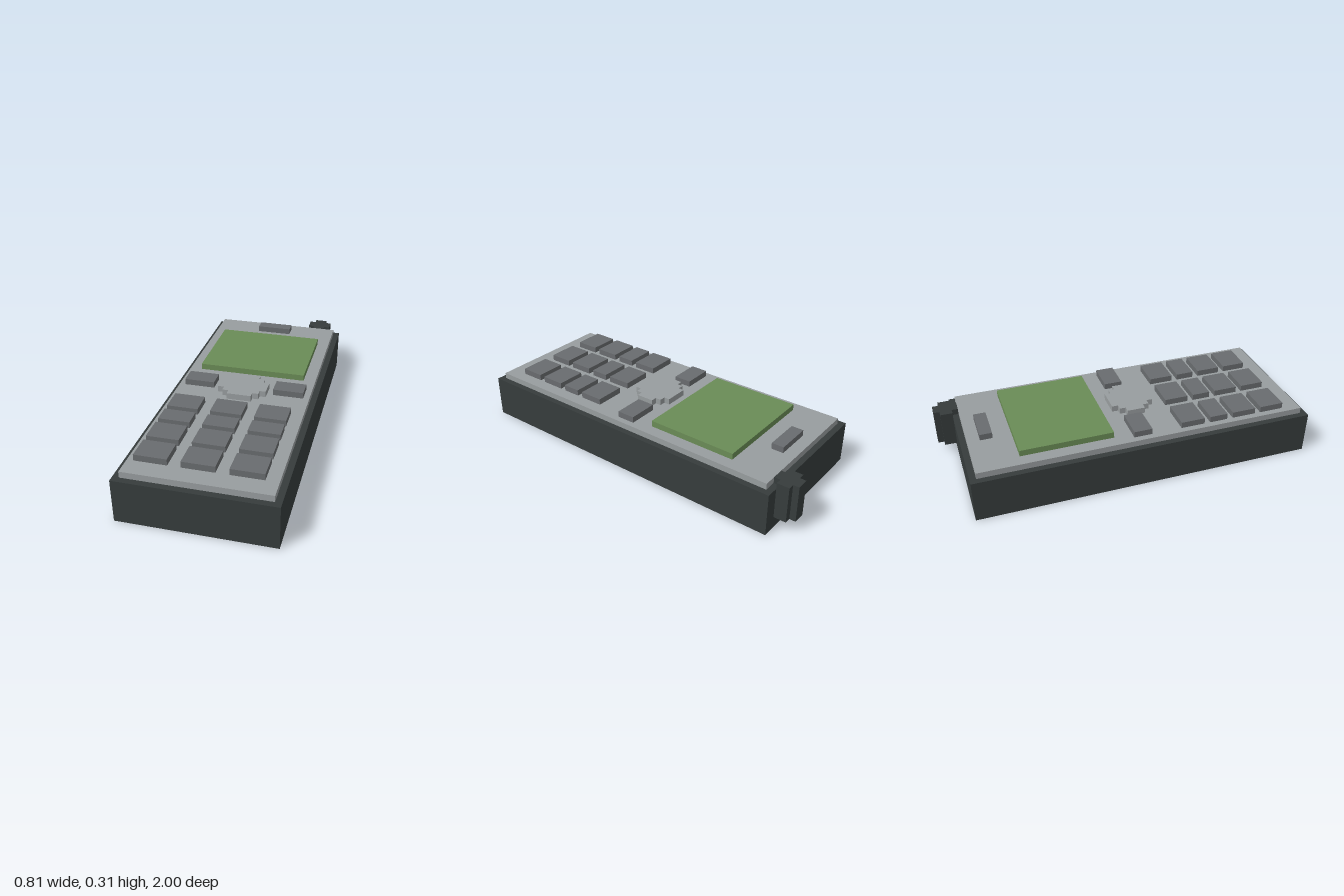
import * as THREE from 'three';

// Everything sits on a square grid: x from the middle, y from the ground, z from the back end
const U = 2 / 59;

const material = (name, color) => {
  const m = new THREE.MeshStandardMaterial({ color });
  m.name = name;
  return m;
};

export function createModel() {
  const dark = material('darkCasing', 0x363c3c);
  const light = material('lightPanel', 0x989d9f);
  const grey = material('greyKeys', 0x696c6f);
  const green = material('greenScreen', 0x6a8c56);

  const model = new THREE.Group();
  model.name = 'mobilePhone';

  const add = (name, geometry, mat, parent = model) => {
    const mesh = new THREE.Mesh(geometry, mat);
    mesh.name = name;
    parent.add(mesh);
    return mesh;
  };

  // Box given by its limits in grid units
  const block = (name, mat, [x0, x1], [y0, y1], [z0, z1], parent) => {
    const mesh = add(name, new THREE.BoxGeometry((x1 - x0) * U, (y1 - y0) * U, (z1 - z0) * U), mat, parent);
    mesh.position.set((x0 + x1) / 2 * U, (y0 + y1) / 2 * U, (z0 + z1) / 2 * U - 1);
  };

  // Upright stepped prism, mirrored in x and z; steps are [halfWidth, halfDepth] of one quarter
  const steppedPrism = (name, mat, steps, cx, cz, y0, y1) => {
    const quarter = [];
    steps.forEach(([x, z], i) => {
      if (i) quarter.push([x, steps[i - 1][1]]);
      quarter.push([x, z]);
    });
    const back = [...quarter].reverse();
    const flip = (sx, sz, list) => list.map(([x, z]) => [sx * x, sz * z]);
    const outline = [...quarter, ...flip(-1, 1, back), ...flip(-1, -1, quarter), ...flip(1, -1, back)];
    const shape = new THREE.Shape(outline.map(([x, z]) => new THREE.Vector2(x * U, z * U)));
    const geometry = new THREE.ExtrudeGeometry(shape, { depth: (y1 - y0) * U, bevelEnabled: false });
    geometry.rotateX(-Math.PI / 2);
    add(name, geometry, mat).position.set(cx * U, y0 * U, cz * U - 1);
  };

  // Casing and raised face plate
  block('body', dark, [-12, 12], [0, 7], [3, 59]);
  block('facePlate', light, [-11, 11], [7, 8], [4, 58]);

  // Antenna with a cross-shaped section
  steppedPrism('antenna', dark, [[2, 1], [1, 2]], 8, 2, 2, 8);

  // Earpiece, screen and navigation pad
  block('earpiece', grey, [-3, 3], [8, 9], [6, 8]);
  block('screen', green, [-9, 9], [8, 9], [11, 26]);
  steppedPrism('navigationPad', light, [[4, 1.5], [3, 2.5], [2, 3.5]], 0, 31.5, 8, 9);

  // Menu keys beside the pad
  block('rightMenuKey', grey, [-10, -5], [8, 9], [29, 32]);
  block('leftMenuKey', grey, [5, 10], [8, 9], [29, 32]);

  // Keypad, three columns by four rows
  const keypad = new THREE.Group();
  keypad.name = 'keypad';
  model.add(keypad);
  for (const z of [[37, 41], [42, 45], [46, 50], [51, 55]]) {
    for (const x of [-10, -3, 4]) block('key', grey, [x, x + 5], [8, 9], z, keypad);
  }

  return model;
}
